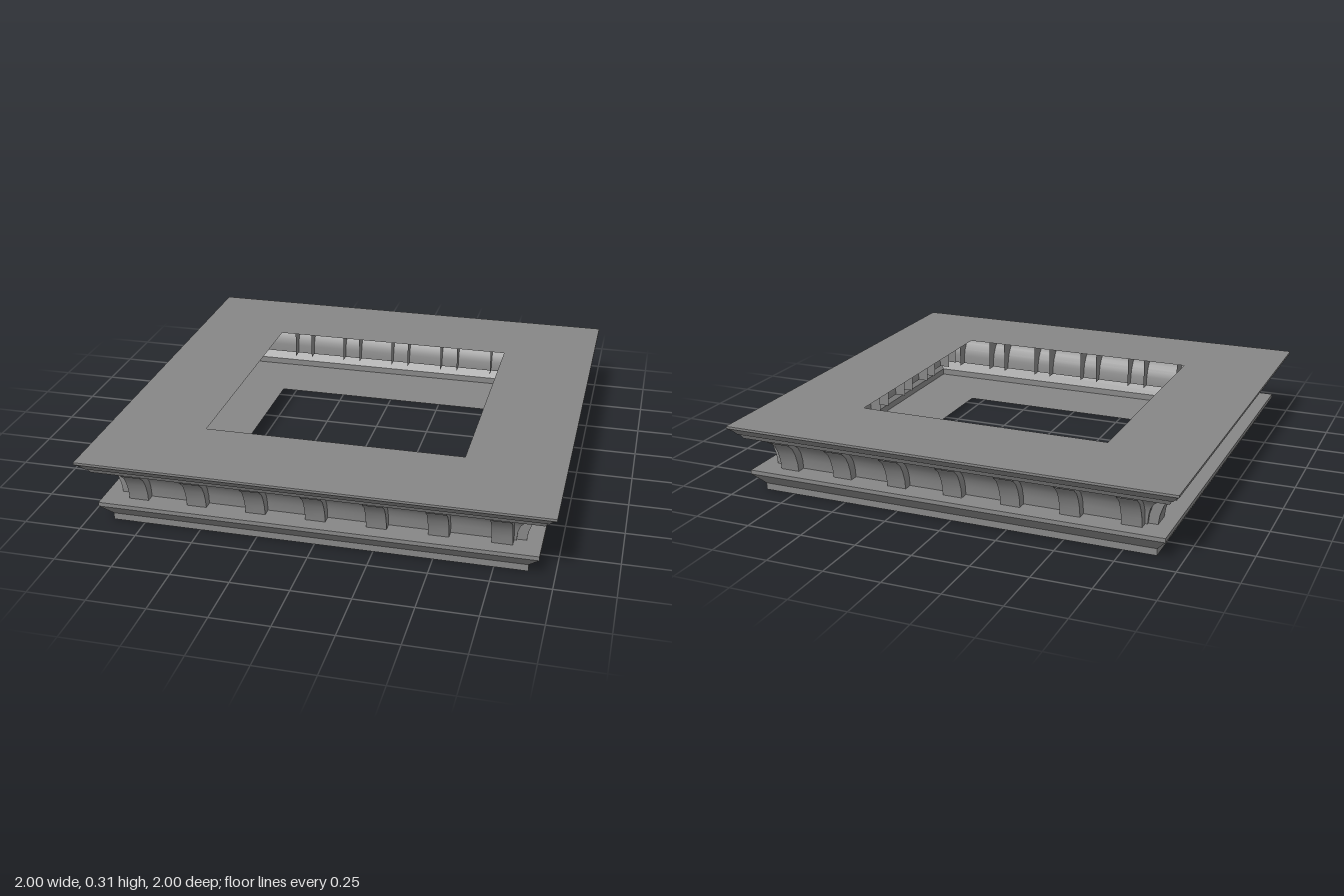
import * as THREE from 'three';
import { toCreasedNormals } from 'three/addons/utils/BufferGeometryUtils.js';

const stone = new THREE.MeshStandardMaterial({ color: 0x868686, side: THREE.DoubleSide });
stone.name = 'grey stone';

// Surface between two edges; each profile point [r, y] gives a left and a right corner
function ribbon(profile, left, right) {
  const pos = [];
  for (let i = 0; i < profile.length - 1; i++) {
    const a = left(profile[i]), b = right(profile[i]);
    const c = right(profile[i + 1]), d = left(profile[i + 1]);
    pos.push(...a, ...b, ...c, ...a, ...c, ...d);
  }
  const g = new THREE.BufferGeometry();
  g.setAttribute('position', new THREE.Float32BufferAttribute(pos, 3));
  return toCreasedNormals(g, 0.5);
}

function part(name, geometry) {
  const m = new THREE.Mesh(geometry, stone);
  m.name = name;
  return m;
}

// Cross-sections as [distance from centre, height]
const INNER = 0.57;
const lowerMoulding = [[INNER, 0], [0.89, 0], [0.89, 0.03], [0.935, 0.082], [0.935, 0.1], [0.83, 0.1]];
const cove = [[0.83, 0.1], [0.834, 0.14], [0.845, 0.175], [0.865, 0.205], [0.9, 0.235], [0.95, 0.25]];
const upperMoulding = [[0.95, 0.25], [0.96, 0.268], [0.968, 0.272], [0.98, 0.288], [1, 0.305], [1, 0.315], [INNER, 0.315]];
const bracketFront = [[0.87, 0.1], [0.876, 0.14], [0.89, 0.18], [0.91, 0.215], [0.945, 0.245]];

const BRACKET_BACK = 0.78, BRACKET_HALF = 0.043, BRACKET_GAP = 0.259;

// Open-backed bracket with a curved front and two cheeks
function bracket(x) {
  const g = new THREE.Group();
  g.name = 'bracket';
  const l = x - BRACKET_HALF, r = x + BRACKET_HALF;
  g.add(part('bracketFront', ribbon(bracketFront, ([d, y]) => [l, y, d], ([d, y]) => [r, y, d])));
  g.add(part('bracketLeftCheek', ribbon(bracketFront, ([d, y]) => [r, y, d], ([, y]) => [r, y, BRACKET_BACK])));
  g.add(part('bracketRightCheek', ribbon(bracketFront, ([, y]) => [l, y, BRACKET_BACK], ([d, y]) => [l, y, d])));
  return g;
}

// One mitred side of the square frame, facing +z
function frameSide() {
  const g = new THREE.Group();
  const left = ([d, y]) => [-d, y, d], right = ([d, y]) => [d, y, d];
  g.add(part('lowerMoulding', ribbon(lowerMoulding, left, right)));
  g.add(part('coveWall', ribbon(cove, left, right)));
  g.add(part('upperMoulding', ribbon(upperMoulding, left, right)));
  for (let i = -3; i <= 3; i++) g.add(bracket(i * BRACKET_GAP));
  return g;
}

export function createModel() {
  const model = new THREE.Group();
  model.name = 'squareCornice';
  ['frontSide', 'leftSide', 'backSide', 'rightSide'].forEach((name, i) => {
    const side = frameSide();
    side.name = name;
    side.rotation.y = i * Math.PI / 2;
    model.add(side);
  });
  return model;
}
